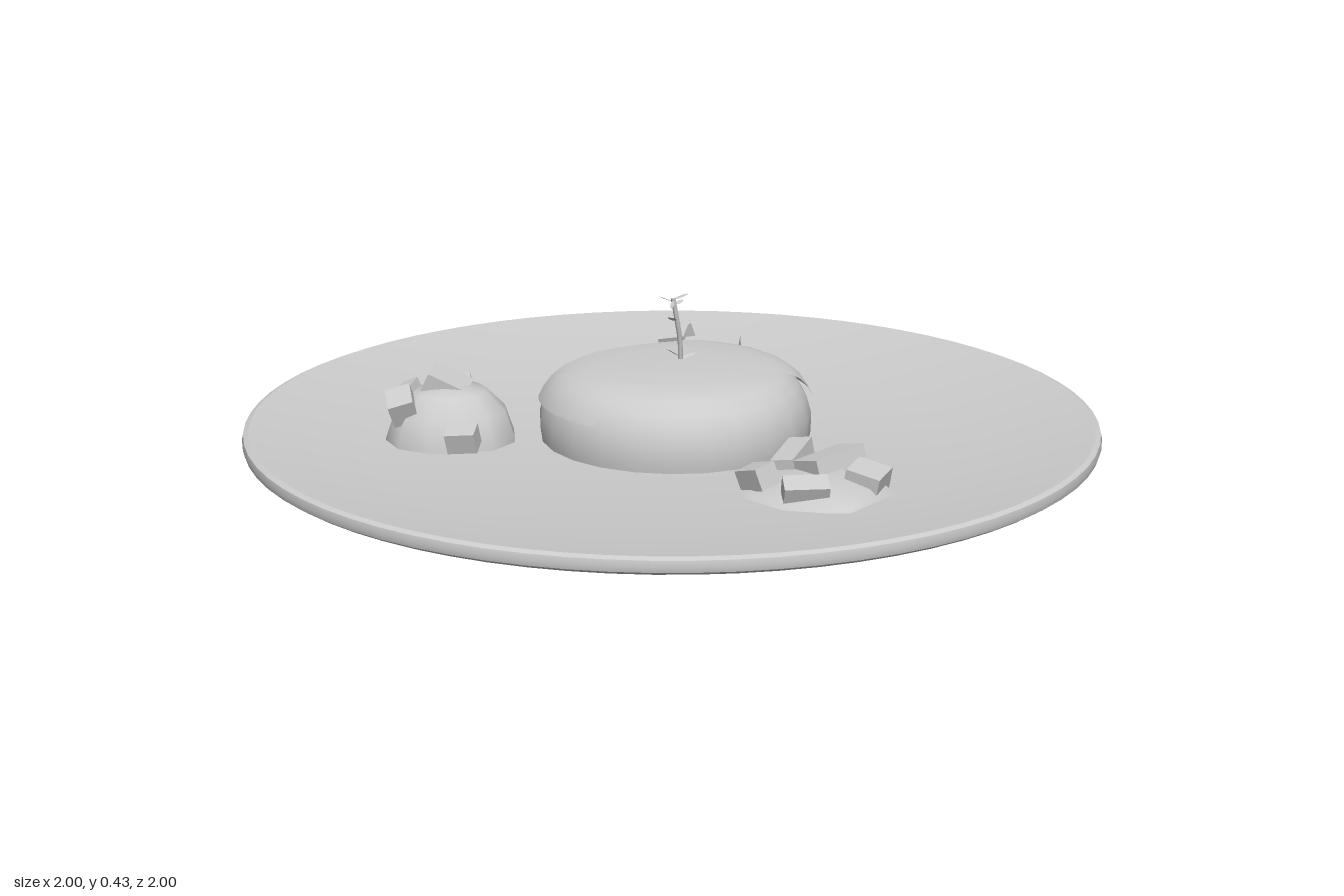
import * as THREE from 'three';
import { toCreasedNormals } from 'three/addons/utils/BufferGeometryUtils.js';

const mat = new THREE.MeshStandardMaterial({ color: 0xcccccc });
const thin = new THREE.MeshStandardMaterial({ color: 0xcccccc, side: THREE.DoubleSide });
const flat = new THREE.MeshStandardMaterial({ color: 0xcccccc, flatShading: true });

function add(parent, name, geometry, material = mat) {
  const mesh = new THREE.Mesh(geometry, material);
  mesh.name = name;
  parent.add(mesh);
  return mesh;
}

const lathe = (pts, sides) =>
  new THREE.LatheGeometry(pts.map(([r, y]) => new THREE.Vector2(r, y)), sides);

// Central dome profile, from open base to crown
const DOME = [[0.31, 0.045], [0.32, 0.1], [0.321, 0.145], [0.31, 0.185], [0.29, 0.217],
  [0.26, 0.241], [0.21, 0.256], [0.13, 0.264], [0, 0.267]];

// Height of the dome at a given distance from its axis
function domeHeight(r) {
  for (let i = DOME.length - 1; i > 2; i--) {
    const [r0, y0] = DOME[i], [r1, y1] = DOME[i - 1];
    if (r <= r1) return y0 + (y1 - y0) * (r - r0) / (r1 - r0);
  }
  return 0.145;
}

// Slice draped diagonally over the dome, tapering towards both ends
function drapedSlice() {
  const nu = 32, nv = 14;
  const g = new THREE.PlaneGeometry(2, 2, nu, nv);
  const p = g.attributes.position;
  for (let i = 0; i < p.count; i++) {
    const s = p.getX(i), t = p.getY(i);
    const u = 0.318 * Math.sin(s * Math.PI / 2);
    const v = t * 0.17 * Math.sqrt(1 - 0.72 * s * s) + 0.006 * Math.sin(s * 9) * t * t;
    const r = Math.hypot(u, v);
    const k = r > 0.312 ? 0.312 / r : 1;
    const out = 1 + 0.035 * Math.min(1, r / 0.3);
    const x = (u + v) * Math.SQRT1_2 * k * out, z = (v - u) * Math.SQRT1_2 * k * out;
    p.setXYZ(i, x, domeHeight(r * k) + 0.007, z);
  }
  g.computeVertexNormals();
  return g;
}

// Low mound with an open base; squash varies the rim a little
function mound(radius, height, sides) {
  const pts = [[1, 0], [0.98, 0.3], [0.84, 0.66], [0.55, 0.91], [0, 1]]
    .map(([r, y]) => [r * radius, y * height]);
  const g = lathe(pts, sides);
  const p = g.attributes.position;
  for (let i = 0; i < p.count; i++) {
    const a = Math.atan2(p.getZ(i), p.getX(i));
    const k = 1 + 0.05 * Math.sin(3 * a + 1);
    p.setXYZ(i, p.getX(i) * k, p.getY(i), p.getZ(i) * k);
  }
  return toCreasedNormals(g, 0.75);
}

// Cut pieces: centre, size, then turn about y, x and z
function chunks(parent, name, list) {
  for (const [x, y, z, w, h, d, ry = 0, rx = 0, rz = 0] of list) {
    const m = add(parent, name, new THREE.BoxGeometry(w, h, d), flat);
    m.position.set(x, y, z);
    m.rotation.set(rx, ry, rz, 'YXZ');
  }
}

function group(parent, name) {
  const g = new THREE.Group();
  g.name = name;
  parent.add(g);
  return g;
}

export function createModel() {
  const model = new THREE.Group();
  model.name = 'platedMeal';

  // Plate with raised foot ring, sloping rim and flat well
  add(model, 'plate', toCreasedNormals(lathe([[0, 0.06], [0.708, 0.06], [0.712, 0.04], [0.72, 0.04],
    [0.72, 0.066], [0.985, 0.108], [0.997, 0.116], [1, 0.128], [0.997, 0.142], [0.985, 0.147],
    [0.97, 0.145], [0.69, 0.092], [0, 0.09]], 72), 0.5));

  // Central dome and the slice over it
  const main = group(model, 'mainDish');
  main.position.set(-0.005, 0, -0.042);
  add(main, 'dome', lathe(DOME, 24), thin);
  add(main, 'drapedSlice', drapedSlice(), thin);

  // Herb sprig standing on the crown
  const sprig = group(main, 'sprig');
  const stemCurve = new THREE.CatmullRomCurve3([[0.012, 0.255, -0.004], [0.012, 0.32, 0.002],
    [0.008, 0.37, 0.012], [0, 0.425, 0.018]].map(a => new THREE.Vector3(...a)));
  add(sprig, 'stem', new THREE.TubeGeometry(stemCurve, 8, 0.006, 5));
  const leafShape = new THREE.Shape();
  leafShape.moveTo(0, 0);
  leafShape.quadraticCurveTo(0.02, 0.012, 0.042, 0);
  leafShape.quadraticCurveTo(0.02, -0.012, 0, 0);
  const leafGeo = new THREE.ShapeGeometry(leafShape, 3).rotateX(-Math.PI / 2);
  [[0.1, 0.5, 0.3], [0.12, 3.4, 0.5], [0.58, 0.2, 0.3], [0.62, 1.7, -0.2], [0.66, 4.4, 0.4],
    [0.72, 2.9, 0.2], [0.9, 1.3, 0.1], [0.94, 3.2, 0.3], [0.97, 4.9, -0.3], [0.98, 0.1, 0.4]]
    .forEach(([t, turn, lift]) => {
      const leaf = add(sprig, 'leaf', leafGeo, thin);
      leaf.position.copy(stemCurve.getPoint(t));
      leaf.rotation.set(0.4, turn, lift, 'YZX');
    });

  // Tall mound on the right with pieces stuck in it
  const tall = group(model, 'rightSide');
  const tallMound = add(tall, 'tallMound', mound(0.155, 0.177, 12), thin);
  tallMound.position.set(-0.5, 0.045, 0.14);
  chunks(tall, 'tallMoundPiece', [
    [-0.515, 0.212, 0.13, 0.1, 0.05, 0.09, 0.2, 0.1, -0.45],
    [-0.585, 0.185, 0.235, 0.06, 0.06, 0.07, 0.5, 0.4, 0.3],
    [-0.53, 0.175, 0.01, 0.06, 0.05, 0.05, 0.3, -0.5, 0.2],
    [-0.415, 0.135, 0.285, 0.07, 0.05, 0.05, 0.15, 0.3, 0.1],
    [-0.605, 0.18, 0.13, 0.04, 0.06, 0.06, 0.1, 0.1, 0.4]]);

  // Wide tilted mound at the front left, dipping through the plate
  const wide = group(model, 'frontSide');
  const wideMound = add(wide, 'wideMound', mound(0.21, 0.085, 7), thin);
  wideMound.position.set(0.395, 0.04, 0.295);
  wideMound.quaternion.setFromAxisAngle(new THREE.Vector3(1, 0, 1).normalize(), 0.17);
  chunks(wide, 'wideMoundPiece', [
    [0.34, 0.125, 0.175, 0.055, 0.05, 0.14, -0.05, 0.1, 0.15],
    [0.435, 0.14, 0.21, 0.085, 0.04, 0.14, -0.6, 0.1, 0.25],
    [0.535, 0.125, 0.265, 0.08, 0.05, 0.08, -0.15, 0.1, -0.2],
    [0.3, 0.125, 0.325, 0.08, 0.05, 0.055, -0.6, 0.2, 0.3],
    [0.425, 0.125, 0.385, 0.1, 0.045, 0.05, 0.4, 0.4, 0]]);

  // Loose stack of cut pieces at the back
  const stack = group(model, 'backSide');
  chunks(stack, 'stackPiece', [
    [-0.07, 0.155, -0.54, 0.155, 0.05, 0.085, 0.2, 0.15, 0.05],
    [-0.08, 0.12, -0.455, 0.16, 0.05, 0.055, 0.3, -0.3, 0.05],
    [-0.17, 0.17, -0.585, 0.07, 0.055, 0.075, 0.05, 0.35, 0.2],
    [-0.245, 0.12, -0.52, 0.035, 0.05, 0.04, 0.5, 0.3, 0.2],
    [-0.195, 0.115, -0.44, 0.08, 0.04, 0.05, 0.35, 0.2, 0.1],
    [-0.15, 0.125, -0.51, 0.08, 0.05, 0.06, 0.3, 0.1, 0.2],
    [-0.095, 0.095, -0.41, 0.05, 0.04, 0.05, 0.7, 0.3, 0.3]]);

  return model;
}
